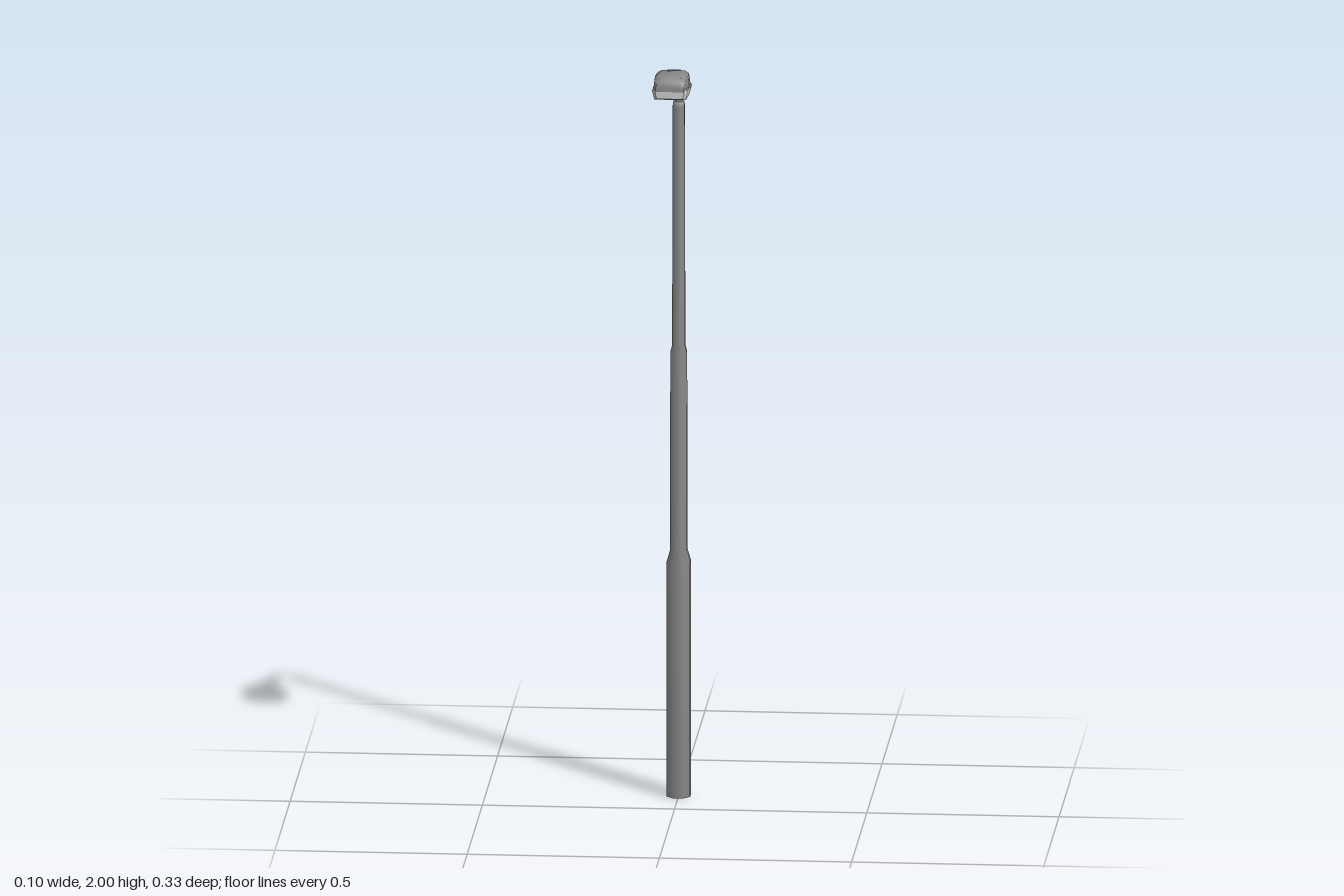
import * as THREE from 'three';
import { toCreasedNormals } from 'three/addons/utils/BufferGeometryUtils.js';

const POLE_Z = -0.138;
const metal = new THREE.MeshStandardMaterial({ color: 0x8a8a8a, side: THREE.DoubleSide });
const glass = new THREE.MeshStandardMaterial({ color: 0xe6e6e6, side: THREE.DoubleSide });

function addMesh(group, name, geometry, material = metal) {
  const mesh = new THREE.Mesh(geometry, material);
  mesh.name = name;
  group.add(mesh);
  return mesh;
}

// Skin over eight-cornered sections along z.
// Each section: z, top half-width, top y, rim half-width, rim y, bottom half-width, bottom y
function loft(sections, crease) {
  const pos = [], idx = [], n = 8;
  for (const [z, tw, ty, rw, ry, bw, by] of sections) {
    const shoulder = ty - (ty - ry) * 0.2;
    const ring = [[rw, ry], [tw, shoulder], [tw * 0.75, ty], [-tw * 0.75, ty],
      [-tw, shoulder], [-rw, ry], [-bw, by], [bw, by]];
    for (const [x, y] of ring) pos.push(x, y, z);
  }
  const last = (sections.length - 1) * n;
  for (let s = 0; s < last; s += n) {
    for (let i = 0; i < n; i++) {
      const a = s + i, b = s + (i + 1) % n;
      idx.push(a, b, a + n, b, b + n, a + n);
    }
  }
  for (let i = 1; i < n - 1; i++) {
    idx.push(0, i + 1, i, last, last + i, last + i + 1);
  }
  const g = new THREE.BufferGeometry();
  g.setAttribute('position', new THREE.Float32BufferAttribute(pos, 3));
  g.setIndex(idx);
  return toCreasedNormals(g, crease);
}

export function createModel() {
  const group = new THREE.Group();

  // Stepped eight-sided pole, smooth shaded right around its foot
  const profile = [[0, 0], [0.033, 0], [0.033, 0.63], [0.024, 0.66],
    [0.023, 1.19], [0.018, 1.21], [0.017, 1.85], [0.015, 1.862], [0, 1.865]]
    .map(([r, y]) => new THREE.Vector2(r, y));
  addMesh(group, 'pole', new THREE.LatheGeometry(profile, 8, Math.PI / 8)).position.z = POLE_Z;

  // Curved arm sweeping forward to the lamp
  const armPath = new THREE.CatmullRomCurve3([
    [1.84, POLE_Z], [1.875, POLE_Z + 0.001], [1.91, -0.124], [1.938, -0.097],
    [1.955, -0.058], [1.963, -0.015], [1.967, 0.015],
  ].map(([y, z]) => new THREE.Vector3(0, y, z)));
  addMesh(group, 'arm', new THREE.TubeGeometry(armPath, 20, 0.011, 8));

  // Lamp hood: bulging neck socket, then the wide body with a sloping nose
  addMesh(group, 'lampHood', loft([
    [-0.015, 0.015, 1.979, 0.019, 1.966, 0.015, 1.951],
    [0.018, 0.022, 1.988, 0.03, 1.967, 0.022, 1.948],
    [0.03, 0.021, 1.989, 0.027, 1.967, 0.021, 1.948],
    [0.045, 0.041, 1.993, 0.045, 1.96, 0.043, 1.953],
    [0.1, 0.043, 1.998, 0.046, 1.966, 0.044, 1.959],
    [0.154, 0.04, 2.0, 0.043, 1.971, 0.041, 1.964],
    [0.165, 0.034, 1.99, 0.037, 1.973, 0.035, 1.966],
  ], 1.0));

  // Pale lens, slightly wider than the hood, with a bevelled underside
  addMesh(group, 'lens', loft([
    [0.046, 0.048, 1.96, 0.049, 1.956, 0.043, 1.942],
    [0.056, 0.048, 1.961, 0.049, 1.957, 0.044, 1.936],
    [0.148, 0.046, 1.969, 0.047, 1.964, 0.041, 1.941],
    [0.164, 0.037, 1.97, 0.038, 1.966, 0.034, 1.947],
  ], 0.7), glass);

  // Pointed lugs either side of the neck opening
  for (const side of [-1, 1]) {
    const lug = addMesh(group, 'neckLug', new THREE.ConeGeometry(0.005, 0.014, 4));
    lug.rotation.x = -Math.PI / 2;
    lug.position.set(side * 0.0145, 1.966, -0.017);
  }
  return group;
}
